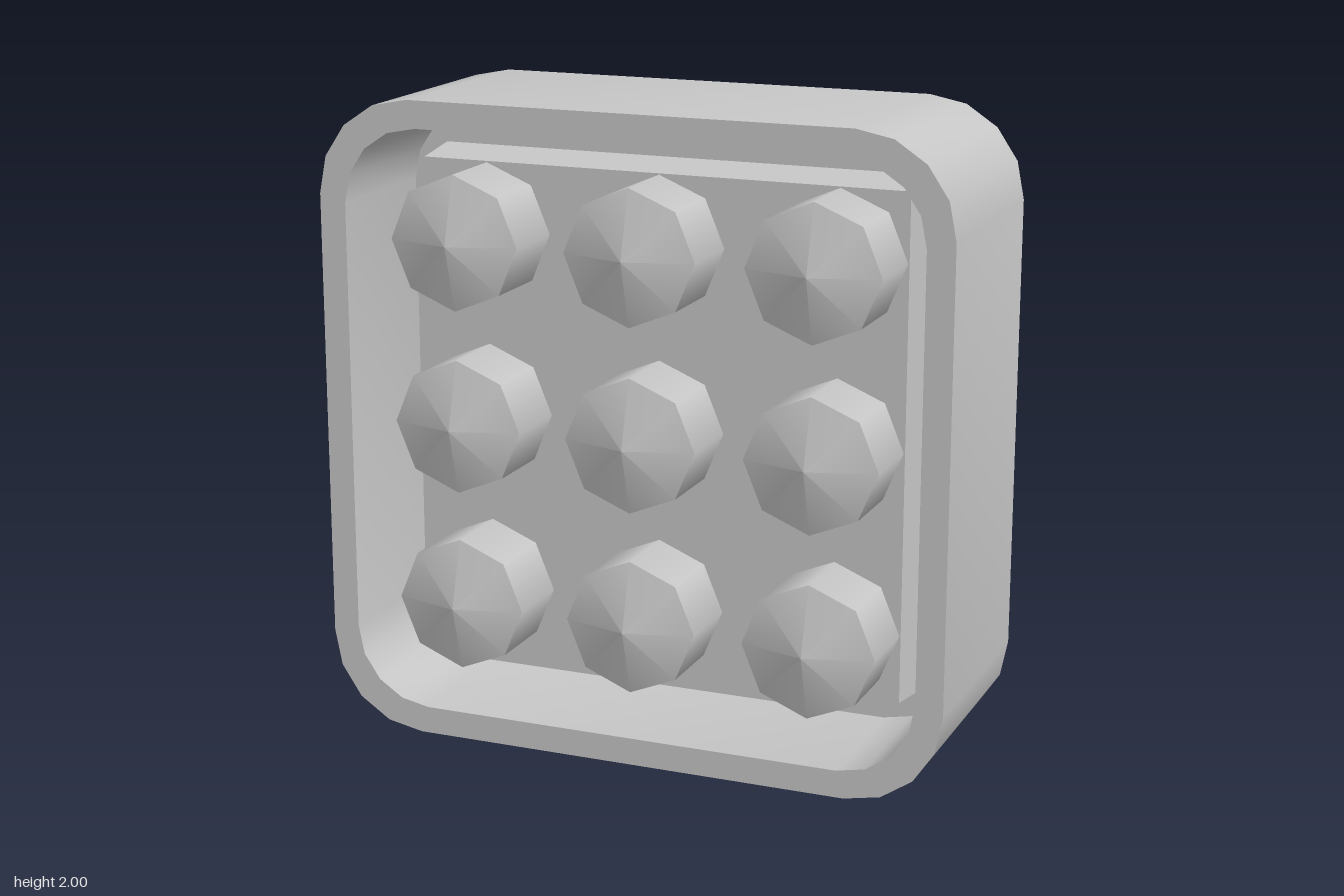
import * as THREE from 'three';
import { toCreasedNormals } from 'three/addons/utils/BufferGeometryUtils.js';

const grey = new THREE.MeshStandardMaterial({ color: 0xc6c6c6, side: THREE.DoubleSide });
grey.name = 'grey';

// Depths of the main levels
const BACK = -0.365, LEDGE = -0.12, PLATE = 0.07, RIM = 0.34;

// Counter-clockwise square outline, with corners rounded in four steps when r > 0
function outline(half, r = 0) {
  const points = [];
  const steps = r > 0 ? 4 : 0;
  for (let corner = 0; corner < 4; corner++) {
    const mid = Math.PI / 4 + corner * Math.PI / 2;
    const cx = Math.sign(Math.cos(mid)) * (half - r);
    const cy = Math.sign(Math.sin(mid)) * (half - r);
    for (let i = 0; i <= steps; i++) {
      const a = corner * Math.PI / 2 + (i / 4) * Math.PI / 2;
      points.push(new THREE.Vector2(cx + r * Math.cos(a), cy + r * Math.sin(a)));
    }
  }
  return points;
}

// Wall joining two outlines that have the same number of points
function wall(a, za, b, zb) {
  const pos = [];
  a.forEach((p, i) => {
    const j = (i + 1) % a.length;
    const p0 = [p.x, p.y, za], p1 = [a[j].x, a[j].y, za];
    const q0 = [b[i].x, b[i].y, zb], q1 = [b[j].x, b[j].y, zb];
    pos.push(...p0, ...p1, ...q1, ...p0, ...q1, ...q0);
  });
  const g = new THREE.BufferGeometry();
  g.setAttribute('position', new THREE.Float32BufferAttribute(pos, 3));
  return toCreasedNormals(g, Math.PI / 4);
}

// Flat sheet facing the front, with an optional hole
function sheet(points, z, hole) {
  const shape = new THREE.Shape(points);
  if (hole) shape.holes.push(new THREE.Path(hole));
  return new THREE.ShapeGeometry(shape).translate(0, 0, z);
}

export function createModel() {
  const model = new THREE.Group();
  model.name = 'buttonPanel';
  const body = new THREE.Group();
  body.name = 'body';
  body.position.y = 1;
  model.add(body);

  const add = (parent, name, geometry) => {
    const mesh = new THREE.Mesh(geometry, grey);
    mesh.name = name;
    parent.add(mesh);
  };

  // Casing, open at the back
  const outer = outline(1, 0.3), inner = outline(0.915, 0.24);
  add(body, 'outerWall', wall(outer, BACK, outer, RIM));
  add(body, 'frontRim', sheet(outer, RIM, inner));
  add(body, 'innerWall', wall(inner, RIM, inner, LEDGE));

  // Recessed ledge with a raised, slightly tapered plate
  const base = outline(0.8), top = outline(0.783);
  add(body, 'ledge', sheet(inner, LEDGE, base));
  add(body, 'plateSides', wall(base, LEDGE, top, PLATE));
  add(body, 'plate', sheet(top, PLATE));

  // Three by three eight-sided buttons, hollow behind
  const r = 0.209, stemBack = -0.09, capBase = 0.305, capTip = 0.365;
  const stem = new THREE.CylinderGeometry(r, r, capBase - stemBack, 8, 1, true)
    .rotateX(Math.PI / 2).translate(0, 0, (capBase + stemBack) / 2);
  const cap = new THREE.ConeGeometry(r, capTip - capBase, 8, 1, true)
    .rotateX(Math.PI / 2).translate(0, 0, (capBase + capTip) / 2);
  for (const x of [-0.57, 0, 0.57]) {
    for (const y of [-0.57, 0, 0.57]) {
      const button = new THREE.Group();
      button.name = 'button';
      button.position.set(x, y, 0);
      add(button, 'buttonStem', stem);
      add(button, 'buttonCap', cap);
      body.add(button);
    }
  }
  return model;
}
